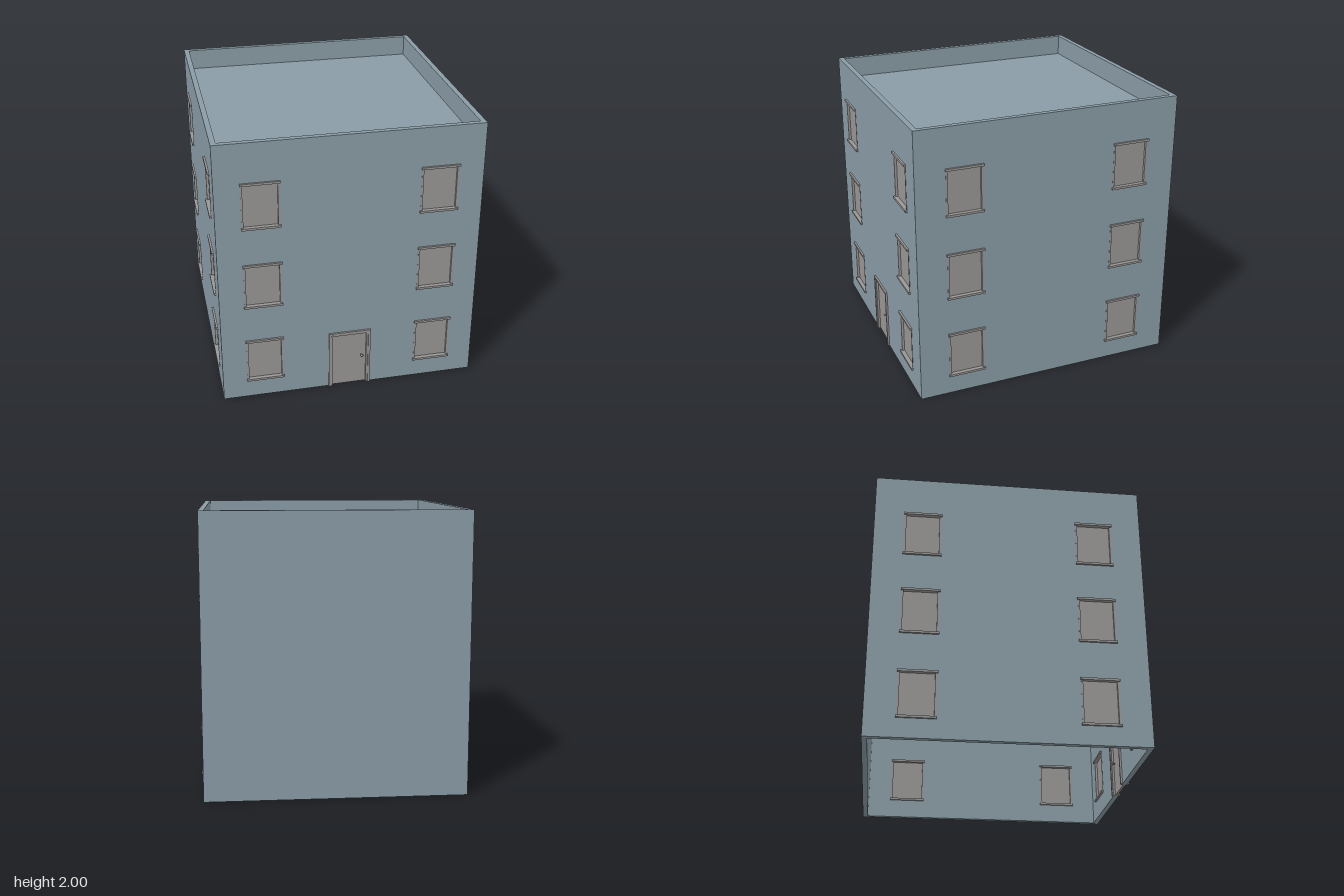
import * as THREE from 'three';

const W = 1.85, H = 2, D = 1.927, T = 0.038;   // outer size and wall thickness
const ROOF_Y = 1.85;
const ROWS = [0.31, 0.926, 1.542];             // window centre heights
const COLS = [-0.617, 0.617];                  // window centres along a wall
const WIN_W = 0.262, WIN_H = 0.328;            // window opening
const DOOR_W = 0.276, DOOR_H = 0.445;          // door opening

const wallMat = new THREE.MeshStandardMaterial({ color: 0x8a9ca6 });
const trimMat = new THREE.MeshStandardMaterial({ color: 0x999796 });

function box(name, w, h, d, x, y, z, mat = trimMat) {
  const m = new THREE.Mesh(new THREE.BoxGeometry(w, h, d), mat);
  m.name = name;
  m.position.set(x, y, z);
  return m;
}

// Wall panel centred on its own z = 0, with window holes and an optional door notch
function wall(name, width, { windows = true, door = false } = {}) {
  const h = width / 2, s = new THREE.Shape();
  s.moveTo(-h, 0);
  if (door) {
    s.lineTo(-DOOR_W / 2, 0);
    s.lineTo(-DOOR_W / 2, DOOR_H);
    s.lineTo(DOOR_W / 2, DOOR_H);
    s.lineTo(DOOR_W / 2, 0);
  }
  s.lineTo(h, 0);
  s.lineTo(h, H);
  s.lineTo(-h, H);
  s.closePath();
  if (windows) for (const x of COLS) for (const y of ROWS) {
    const a = WIN_W / 2, b = WIN_H / 2, p = new THREE.Path();
    p.moveTo(x - a, y - b);
    p.lineTo(x - a, y + b);
    p.lineTo(x + a, y + b);
    p.lineTo(x + a, y - b);
    p.closePath();
    s.holes.push(p);
  }
  const geo = new THREE.ExtrudeGeometry(s, { depth: T, bevelEnabled: false });
  geo.translate(0, 0, -T / 2);
  const m = new THREE.Mesh(geo, wallMat);
  m.name = name;
  return m;
}

// Window: pane in mid-wall, slim jambs, lintel and sill standing proud on both faces
function makeWindow(x, y) {
  const g = new THREE.Group();
  g.name = 'window';
  g.position.set(x, y, 0);
  g.add(box('pane', WIN_W - 0.02, WIN_H - 0.01, 0.006, 0, 0, 0));
  for (const s of [-1, 1]) {
    g.add(box('jamb', 0.013, WIN_H, T + 0.003, s * (WIN_W / 2 - 0.0065), 0, 0));
    g.add(box(s > 0 ? 'lintel' : 'sill', 0.272, 0.016, T + 0.028, 0, s * 0.164, 0));
  }
  return g;
}

// Inverted U frame of the given outer size
function uFrame(name, w, h, t, d) {
  const s = new THREE.Shape();
  const pts = [[-w / 2, 0], [-w / 2 + t, 0], [-w / 2 + t, h - t], [w / 2 - t, h - t],
    [w / 2 - t, 0], [w / 2, 0], [w / 2, h], [-w / 2, h]];
  s.setFromPoints(pts.map(p => new THREE.Vector2(...p)));
  const geo = new THREE.ExtrudeGeometry(s, { depth: d, bevelEnabled: false });
  geo.translate(0, 0, -d / 2);
  const m = new THREE.Mesh(geo, trimMat);
  m.name = name;
  return m;
}

function makeDoor() {
  const g = new THREE.Group();
  g.name = 'door';
  g.add(uFrame('doorCasing', 0.306, 0.46, 0.016, T + 0.028));
  g.add(uFrame('doorStop', DOOR_W, DOOR_H, 0.014, T + 0.012));
  g.add(box('doorPanel', 0.25, 0.432, 0.018, 0, 0.216, 0));
  // Knobs on both faces
  for (const s of [-1, 1]) {
    const stem = new THREE.Mesh(new THREE.CylinderGeometry(0.005, 0.005, 0.022, 12), trimMat);
    stem.name = 'knobStem';
    stem.rotation.x = Math.PI / 2;
    stem.position.set(0.092, 0.24, s * 0.017);
    const knob = new THREE.Mesh(new THREE.SphereGeometry(0.0105, 16, 12), trimMat);
    knob.name = 'knob';
    knob.scale.z = 0.8;
    knob.position.set(0.092, 0.24, s * 0.029);
    g.add(stem, knob);
  }
  return g;
}

// A wall together with its fittings
function side(name, width, opts = {}) {
  const g = new THREE.Group();
  g.name = name;
  g.add(wall(name + 'Wall', width, opts));
  if (opts.windows !== false)
    for (const x of COLS) for (const y of ROWS) g.add(makeWindow(x, y));
  if (opts.door) g.add(makeDoor());
  return g;
}

export function createModel() {
  const model = new THREE.Group();
  model.name = 'building';

  const front = side('front', W, { door: true });
  front.position.z = D / 2 - T / 2;
  const back = side('back', W, { windows: false });
  back.position.z = -D / 2 + T / 2;
  model.add(front, back);

  for (const s of [-1, 1]) {
    const g = side(s > 0 ? 'left' : 'right', D - 2 * T);
    g.rotation.y = s * Math.PI / 2;
    g.position.x = s * (W / 2 - T / 2);
    model.add(g);
  }

  // Flat roof set below the parapet
  model.add(box('roof', W - 2 * T, T, D - 2 * T, 0, ROOF_Y - T / 2, 0, wallMat));

  // Centre the depth, since only the front carries fittings
  for (const c of model.children) c.position.z -= 0.009;
  return model;
}
